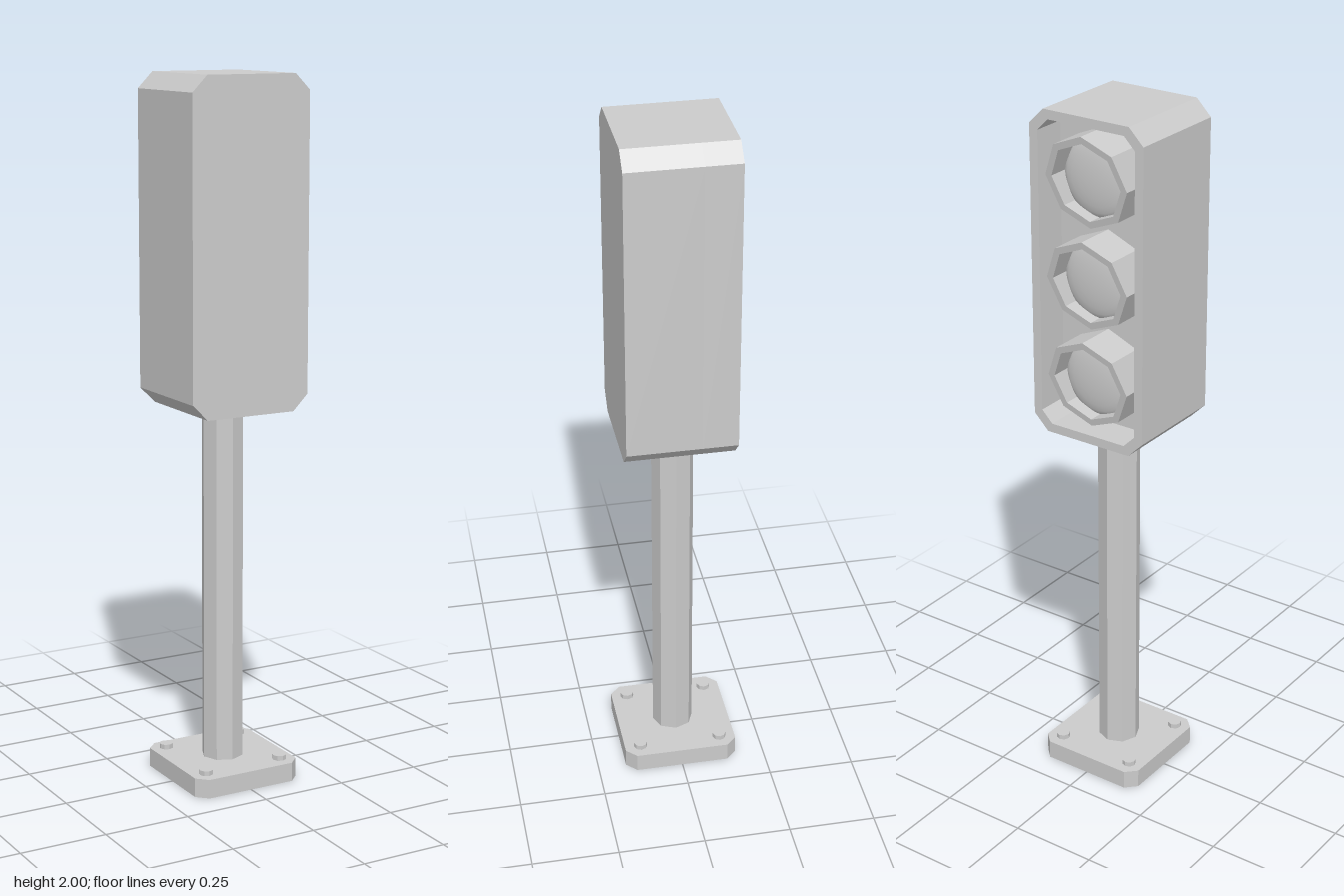
import * as THREE from 'three';

const flat = new THREE.MeshStandardMaterial({ color: 0xcccccc, flatShading: true });
const shell = new THREE.MeshStandardMaterial({ color: 0xcccccc, flatShading: true, side: THREE.DoubleSide });
const smooth = new THREE.MeshStandardMaterial({ color: 0xcccccc });

// Corner points of a rectangle with cut corners
function cutRect(w, h, c) {
  return [[w - c, -h], [w, -h + c], [w, h - c], [w - c, h], [-w + c, h], [-w, h - c], [-w, -h + c], [-w + c, -h]]
    .map(([x, y]) => new THREE.Vector2(x, y));
}

// Corner points of an octagon with a corner at the top
function octagon(r) {
  return Array.from({ length: 8 }, (_, i) =>
    new THREE.Vector2(r * Math.cos(i * Math.PI / 4), r * Math.sin(i * Math.PI / 4)));
}

function extrude(outer, inner, depth) {
  const shape = new THREE.Shape(outer);
  if (inner) shape.holes.push(new THREE.Path(inner));
  return new THREE.ExtrudeGeometry(shape, { depth, bevelEnabled: false });
}

function add(parent, name, geometry, material, x = 0, y = 0, z = 0) {
  const mesh = new THREE.Mesh(geometry, material);
  mesh.name = name;
  mesh.position.set(x, y, z);
  parent.add(mesh);
  return mesh;
}

export function createModel() {
  const model = new THREE.Group();
  model.name = 'trafficLight';

  // Base plate: cut-corner cap, open underneath
  const baseH = 0.055;
  const corners = cutRect(0.165, 0.167, 0.03);
  const top = new THREE.ShapeGeometry(new THREE.Shape(corners)).rotateX(-Math.PI / 2);
  add(model, 'baseTop', top, shell, 0, baseH, 0);
  const wall = [];
  corners.forEach((a, i) => {
    const b = corners[(i + 1) % corners.length];
    wall.push(a.x, 0, -a.y, b.x, 0, -b.y, b.x, baseH, -b.y);
    wall.push(a.x, 0, -a.y, b.x, baseH, -b.y, a.x, baseH, -a.y);
  });
  const skirt = new THREE.BufferGeometry();
  skirt.setAttribute('position', new THREE.Float32BufferAttribute(wall, 3));
  skirt.computeVertexNormals();
  add(model, 'baseSkirt', skirt, shell);

  // Bolts on the base
  const bolt = new THREE.CylinderGeometry(0.02, 0.02, 0.014, 8);
  for (const x of [-0.12, 0.12]) for (const z of [-0.12, 0.12]) add(model, 'bolt', bolt, flat, x, baseH + 0.007, z);

  // Pole
  add(model, 'pole', new THREE.CylinderGeometry(0.06, 0.06, 1.04, 8, 1, true), flat, 0, 0.57, 0);

  // Housing: solid block with a rimmed recess on the lamp side
  const housing = new THREE.Group();
  housing.name = 'housing';
  housing.position.y = 1.54;
  model.add(housing);
  const outline = cutRect(0.18, 0.46, 0.045);
  add(housing, 'housingBody', extrude(outline, null, 0.21), flat, 0, 0, -0.05);
  add(housing, 'housingRim', extrude(outline, cutRect(0.154, 0.434, 0.034), 0.1), flat, 0, 0, -0.15);

  // Lamps: octagonal hoods with a slanted mouth, and domed lenses
  const hood = extrude(octagon(0.13), octagon(0.11), 0.1);
  const p = hood.attributes.position;
  for (let i = 0; i < p.count; i++) {
    p.setZ(i, p.getZ(i) > 0.05 ? -0.05 : -0.15 - 0.16 * p.getY(i));
  }
  hood.computeVertexNormals();
  const lens = new THREE.SphereGeometry(0.11, 24, 6, 0, Math.PI * 2, 0, Math.PI / 2)
    .scale(1, 0.2, 1).rotateX(-Math.PI / 2);
  for (const y of [0.285, 0, -0.285]) {
    const lamp = new THREE.Group();
    lamp.name = 'lamp';
    lamp.position.y = y;
    housing.add(lamp);
    add(lamp, 'hood', hood, flat);
    add(lamp, 'lens', lens, smooth, 0, 0, -0.09);
  }
  return model;
}
